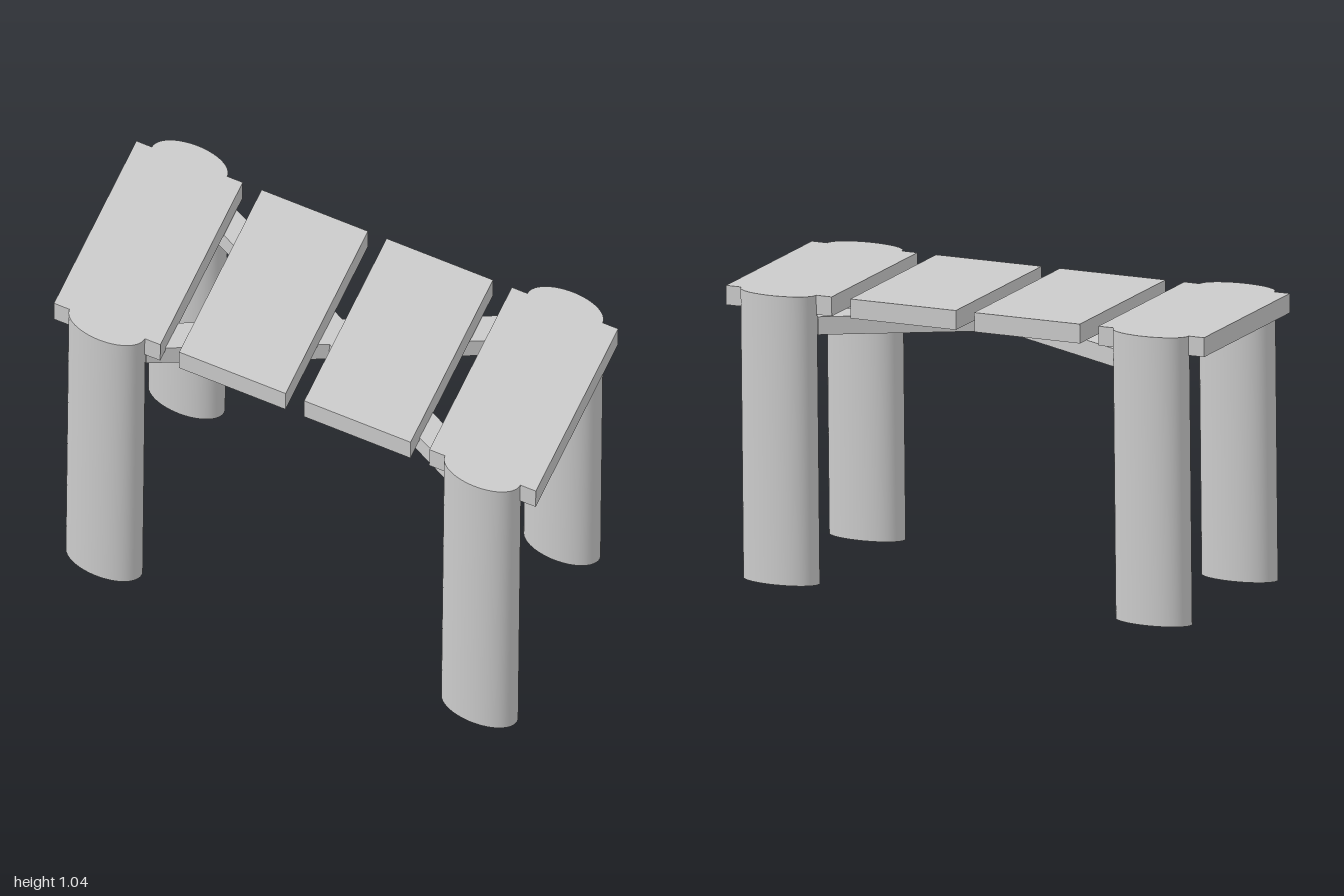
import * as THREE from 'three';

export function createModel() {
  const model = new THREE.Group();
  model.name = 'slantedTable';
  const material = new THREE.MeshStandardMaterial({ color: 0xcccccc });

  const top = 1.045, slabThickness = 0.07, slabLength = 1.02, legX = 0.748;

  // The whole table is skewed in plan, with a very slight lean in height.
  const skew = new THREE.Matrix4().set(
    1, 0.01, -0.0784, -0.01,
    0, 1, 0, 0,
    0.388, 0, 1, -0.003,
    0, 0, 0, 1
  );

  const addPart = (name, geometry) => {
    geometry.applyMatrix4(skew);
    const mesh = new THREE.Mesh(geometry, material);
    mesh.name = name;
    model.add(mesh);
  };

  // Four top planks separated by gaps
  [-0.748, -0.249, 0.249, 0.748].forEach((x, i) => {
    const plank = new THREE.BoxGeometry(0.424, slabThickness, slabLength);
    addPart(`plank${i + 1}`, plank.translate(x, top - slabThickness / 2, 0));
  });

  // Oval legs centred on the ends of the outer planks, flush with the top
  for (const sx of [-1, 1]) {
    for (const sz of [-1, 1]) {
      const leg = new THREE.CylinderGeometry(1, 1, top, 64);
      leg.scale(0.15, 1, 0.1).translate(sx * legX, top / 2, sz * slabLength / 2);
      addPart(`${sz > 0 ? 'front' : 'back'}${sx > 0 ? 'Left' : 'Right'}Leg`, leg);
    }
  }

  // Crossed braces under the planks, rising slightly toward the front
  const tilt = new THREE.Matrix4().set(
    1, 0, 0, 0,
    0, 1, 0.024, 0,
    0, 0, 1, 0,
    0, 0, 0, 1
  );
  const angle = Math.atan2(slabLength / 2, legX);
  [-1, 1].forEach((side, i) => {
    const brace = new THREE.BoxGeometry(1.54, 0.065, 0.135);
    brace.rotateY(side * angle).translate(0, 0.943, 0).applyMatrix4(tilt);
    addPart(`crossBrace${i + 1}`, brace);
  });

  return model;
}
